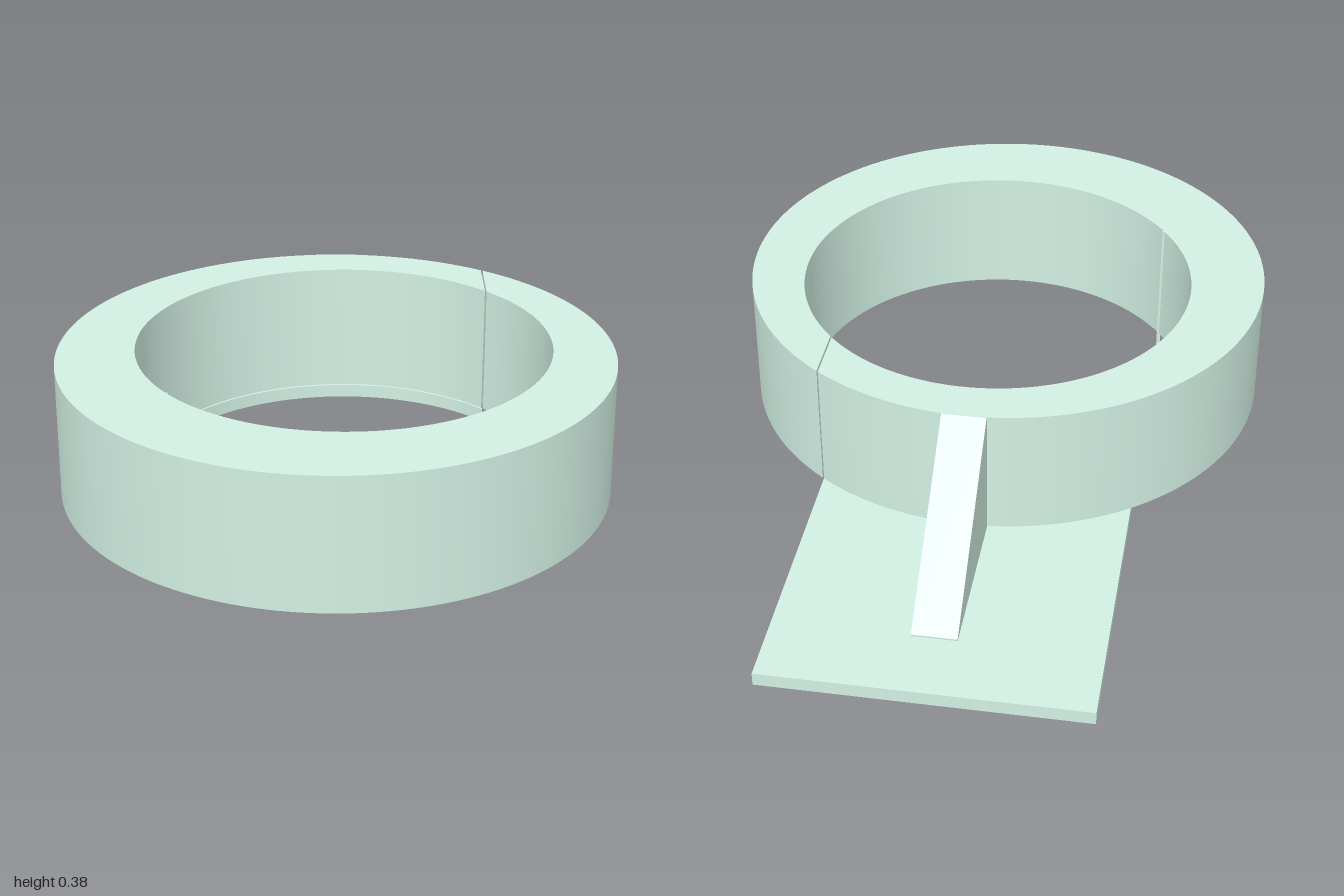
import * as THREE from 'three';
import { toCreasedNormals } from 'three/addons/utils/BufferGeometryUtils.js';

const BASE = 0.038, TOP = 0.38, PLATE_TOP = 0.035;
// Plan circles, with plan y = -z; the bore is slightly off centre
const OUTER = { x: 0, y: -0.307, r: 0.693 };
const BORE = { x: 0.02, y: -0.255, r: 0.521 };
const LEFT = 0.4, RIGHT = -0.407;

// Angle at which a circle crosses a plan line of constant x, on its rear half
const angleAt = (c, x) => Math.acos((x - c.x) / c.r);

export function createModel() {
  const group = new THREE.Group();
  const material = new THREE.MeshStandardMaterial({ color: 0xd2f0e4 });

  const add = (name, geometry) => {
    const mesh = new THREE.Mesh(geometry, material);
    mesh.name = name;
    group.add(mesh);
    return mesh;
  };

  // Extrudes a plan outline upward from y0 to y1
  const slab = (shape, y0, y1) => {
    const g = new THREE.ExtrudeGeometry(shape, { depth: y1 - y0, bevelEnabled: false, curveSegments: 128 });
    g.rotateX(-Math.PI / 2).translate(0, y0, 0);
    return toCreasedNormals(g, 0.5);
  };

  // Eccentric ring with a hairline slit through its wall
  const s0 = LEFT - 0.002, s1 = LEFT + 0.002, turn = Math.PI * 2;
  const ring = new THREE.Shape();
  ring.absarc(OUTER.x, OUTER.y, OUTER.r, angleAt(OUTER, s0), angleAt(OUTER, s1) + turn, false);
  ring.absarc(BORE.x, BORE.y, BORE.r, angleAt(BORE, s1) + turn, angleAt(BORE, s0), true);
  ring.closePath();
  add('ring', slab(ring, BASE, TOP));

  // Mounting plate, its front edge cut by the bore
  const plate = new THREE.Shape();
  plate.moveTo(LEFT, 1);
  plate.lineTo(RIGHT, 1);
  plate.absarc(BORE.x, BORE.y, BORE.r, angleAt(BORE, RIGHT), angleAt(BORE, LEFT), true);
  plate.closePath();
  add('mountingPlate', slab(plate, 0, PLATE_TOP));

  // Triangular gusset between ring and plate
  const wedge = new THREE.Shape([[0.37, PLATE_TOP], [0.815, PLATE_TOP], [0.815, 0.04], [0.387, TOP], [0.37, TOP]]
    .map(([x, y]) => new THREE.Vector2(x, y)));
  const gusset = new THREE.ExtrudeGeometry(wedge, { depth: 0.113, bevelEnabled: false });
  gusset.rotateY(Math.PI / 2).translate(-0.054, 0, 0);
  add('gusset', gusset);

  // Thin rib on the bore wall, reaching down to the ground
  add('boreRib', new THREE.BoxGeometry(0.01, TOP, 0.01)).position.set(-0.403, TOP / 2, 0.563);

  return group;
}
